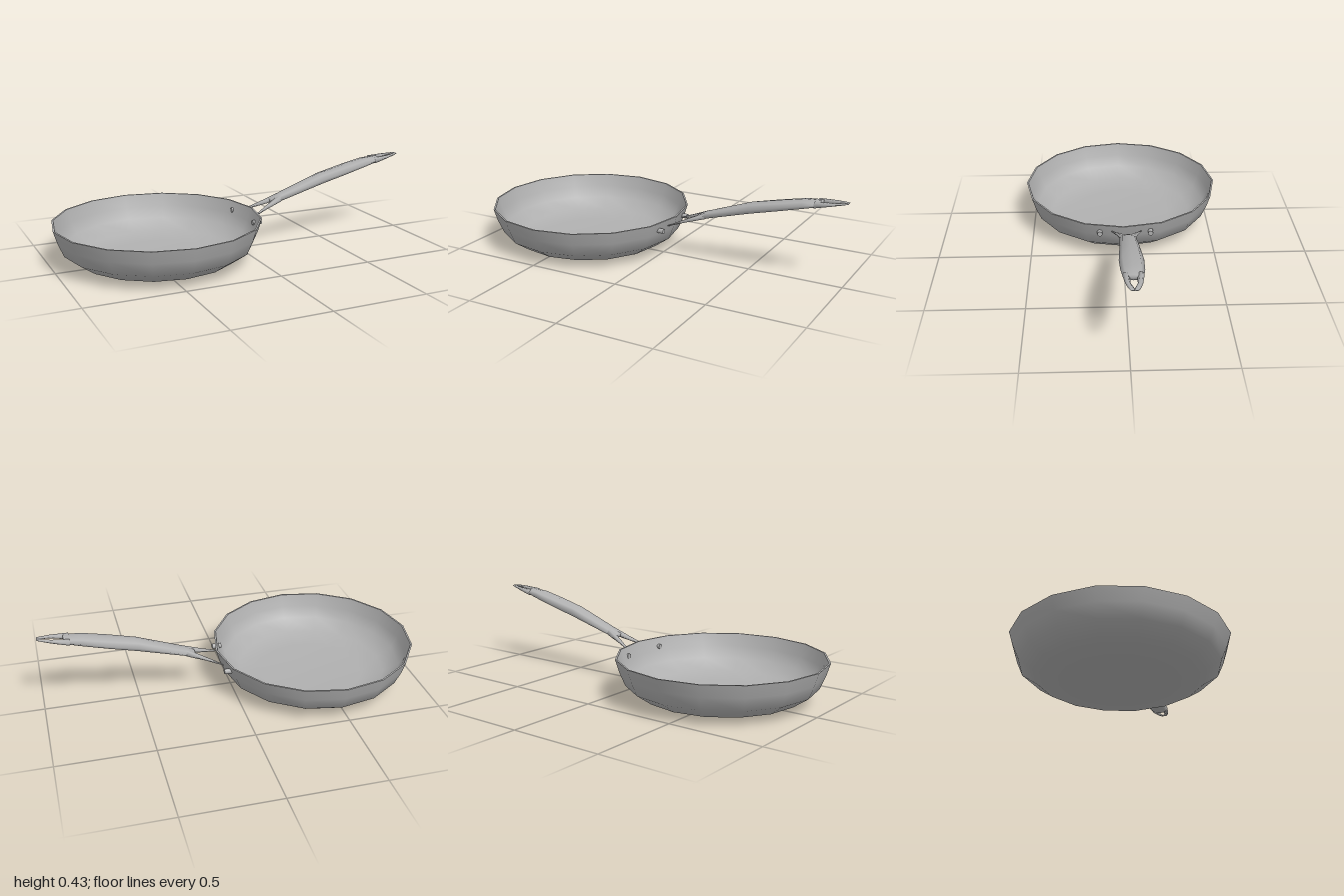
import * as THREE from 'three';

// Loft along x through oval sections: [x, bottom y, top y, centre z, half width]
function loft(sections, sides = 8) {
  const pos = [], index = [];
  const first = sections[0], last = sections[sections.length - 1];
  const cap = ([x, b, t, z]) => [x, (b + t) / 2, (b + t) / 2, z, 0];
  const rings = [cap(first), ...sections, cap(last)];
  for (const [x, b, t, z, w] of rings) {
    for (let j = 0; j < sides; j++) {
      const a = (j / sides) * Math.PI * 2;
      pos.push(x, (b + t) / 2 + ((t - b) / 2) * Math.sin(a), z + w * Math.cos(a));
    }
  }
  for (let i = 0; i < rings.length - 1; i++) {
    for (let j = 0; j < sides; j++) {
      const k = (j + 1) % sides;
      const a = i * sides + j, b = i * sides + k, c = a + sides, d = b + sides;
      index.push(a, c, b, b, c, d);
    }
  }
  const g = new THREE.BufferGeometry();
  g.setAttribute('position', new THREE.Float32BufferAttribute(pos, 3));
  g.setIndex(index);
  g.computeVertexNormals();
  return g;
}

export function createModel() {
  const model = new THREE.Group();
  model.name = 'fryingPan';
  const steel = new THREE.MeshStandardMaterial({ color: 0xb0b0b0 });
  steel.name = 'steel grey';

  const add = (name, geometry, parent = model) => {
    const mesh = new THREE.Mesh(geometry, steel);
    mesh.name = name;
    parent.add(mesh);
    return mesh;
  };

  // Bowl: outer skin, rim and inner skin, kept apart so the rim stays crisp
  const bowl = new THREE.Group();
  bowl.name = 'bowl';
  bowl.position.x = -0.46;
  model.add(bowl);
  const turn = (points) =>
    new THREE.LatheGeometry(points.map(([r, y]) => new THREE.Vector2(r, y)), 16);
  add('outerWall', turn([[0, 0], [0.29, 0.003], [0.41, 0.025], [0.49, 0.08], [0.52, 0.15], [0.54, 0.216]]), bowl);
  add('rim', turn([[0.54, 0.216], [0.531, 0.216]]), bowl);
  add('innerWall', turn([[0.531, 0.216], [0.51, 0.15], [0.48, 0.088], [0.4, 0.035], [0.28, 0.014], [0, 0.012]]), bowl);

  // Handle: arched grip, forked root and a slot at the tip
  const handle = new THREE.Group();
  handle.name = 'handle';
  model.add(handle);
  const mid = -0.017;
  add('grip', loft([
    [0.2, 0.222, 0.245, mid, 0.03],
    [0.25, 0.23, 0.27, mid, 0.043],
    [0.5, 0.298, 0.36, mid, 0.052],
    [0.65, 0.338, 0.393, mid, 0.059],
    [0.78, 0.372, 0.42, mid, 0.056],
    [0.87, 0.397, 0.426, mid, 0.046],
  ]), handle);

  for (const side of [1, -1]) {
    const name = side > 0 ? 'Front' : 'Back';
    add('rootProng' + name, loft([
      [0.06, 0.176, 0.182, mid + side * 0.077, 0.004],
      [0.15, 0.203, 0.222, mid + side * 0.045, 0.013],
      [0.25, 0.23, 0.268, mid + side * 0.016, 0.025],
    ], 6), handle);
    add('tipLoop' + name, loft([
      [0.84, 0.39, 0.424, mid + side * 0.034, 0.016],
      [0.93, 0.412, 0.429, mid + side * 0.027, 0.012],
      [0.98, 0.423, 0.432, mid + side * 0.014, 0.013],
      [1.0, 0.428, 0.432, mid + side * 0.008, 0.01],
    ], 6), handle);
  }

  // Rivets beside the handle root
  for (const z of [0.125, -0.145]) {
    const rivet = add(z > 0 ? 'rivetFront' : 'rivetBack', new THREE.CylinderGeometry(0.014, 0.014, 0.05, 8));
    rivet.rotation.z = Math.PI / 2;
    rivet.position.set(0.046, 0.17, z);
  }

  return model;
}
